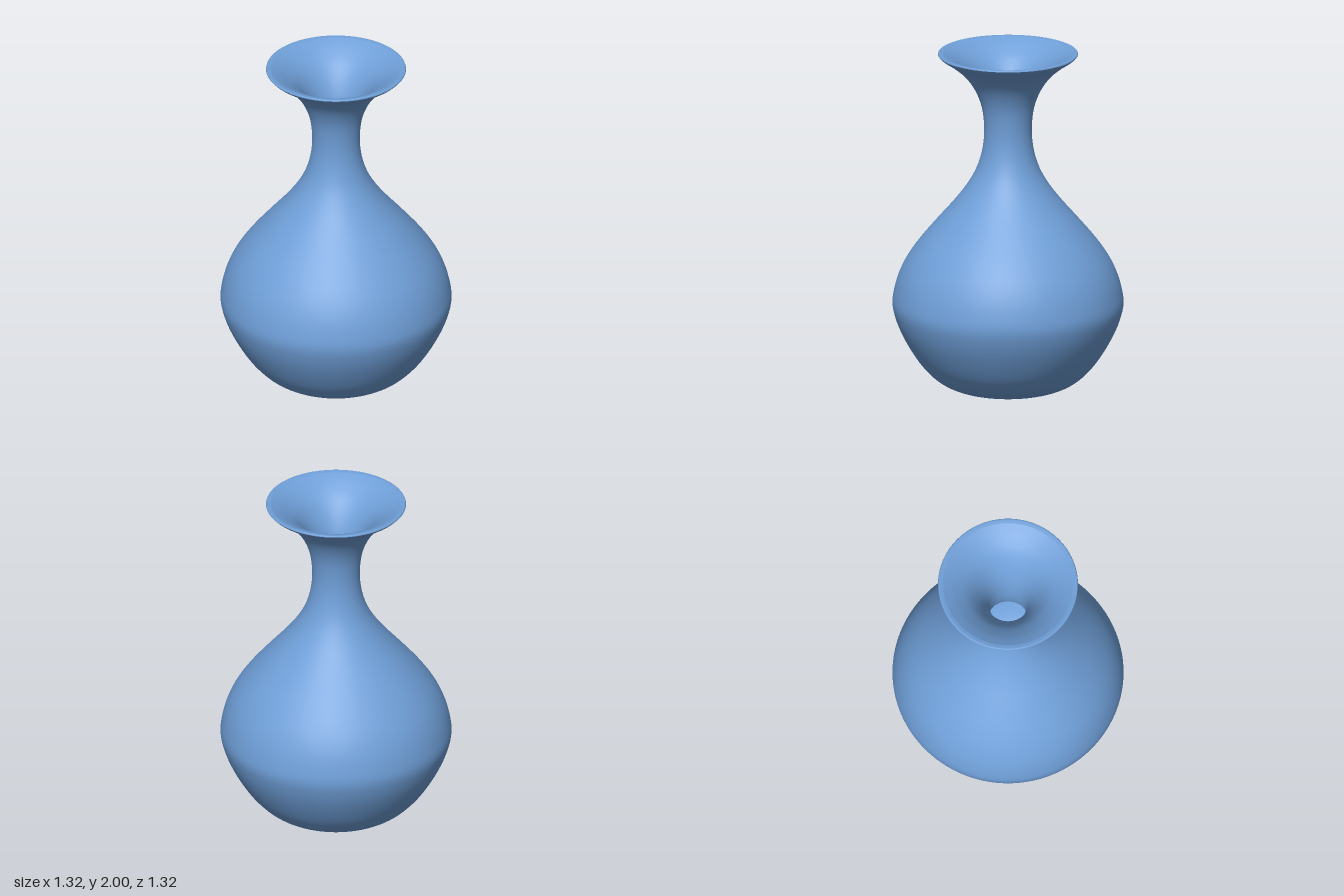
import * as THREE from 'three';

// Smooth surface of revolution through a few [radius, height] points
function turned(name, points, material) {
  const curve = new THREE.SplineCurve(points.map(([r, y]) => new THREE.Vector2(r, y)));
  const profile = curve.getPoints(points.length * 6);
  profile.forEach((p) => { p.x = Math.max(p.x, 0); });
  const mesh = new THREE.Mesh(new THREE.LatheGeometry(profile, 96), material);
  mesh.name = name;
  return mesh;
}

export function createModel() {
  const group = new THREE.Group();
  group.name = 'vase';
  const glaze = new THREE.MeshStandardMaterial({ color: 0x6f9fd8 });
  glaze.name = 'blue glaze';

  // Outside, from the centre of the base up to the rim
  group.add(turned('outerBody', [
    [0, 0], [0.17, 0.008], [0.31, 0.034], [0.405, 0.08], [0.48, 0.15], [0.54, 0.23],
    [0.60, 0.335], [0.64, 0.43], [0.66, 0.52], [0.648, 0.61], [0.62, 0.70],
    [0.575, 0.79], [0.505, 0.89], [0.405, 1.01], [0.31, 1.12], [0.235, 1.22],
    [0.18, 1.32], [0.147, 1.43], [0.136, 1.55], [0.15, 1.68], [0.19, 1.785],
    [0.25, 1.87], [0.325, 1.935], [0.38, 1.972], [0.40, 1.992],
  ], glaze));

  // Thin rounded lip
  group.add(turned('lip', [[0.40, 1.992], [0.397, 1.999], [0.388, 2.0], [0.37, 1.997]], glaze));

  // Inside, from the lip down the throat to the floor
  group.add(turned('innerWall', [
    [0.37, 1.997], [0.305, 1.963], [0.225, 1.9], [0.16, 1.805], [0.117, 1.69],
    [0.10, 1.55], [0.112, 1.42], [0.146, 1.31], [0.205, 1.2], [0.28, 1.1],
    [0.375, 0.99], [0.475, 0.87], [0.545, 0.77], [0.588, 0.69], [0.615, 0.6],
    [0.624, 0.52], [0.605, 0.44], [0.566, 0.35], [0.51, 0.25], [0.45, 0.17],
    [0.38, 0.11], [0.3, 0.07], [0.17, 0.044], [0, 0.036],
  ], glaze));

  return group;
}
